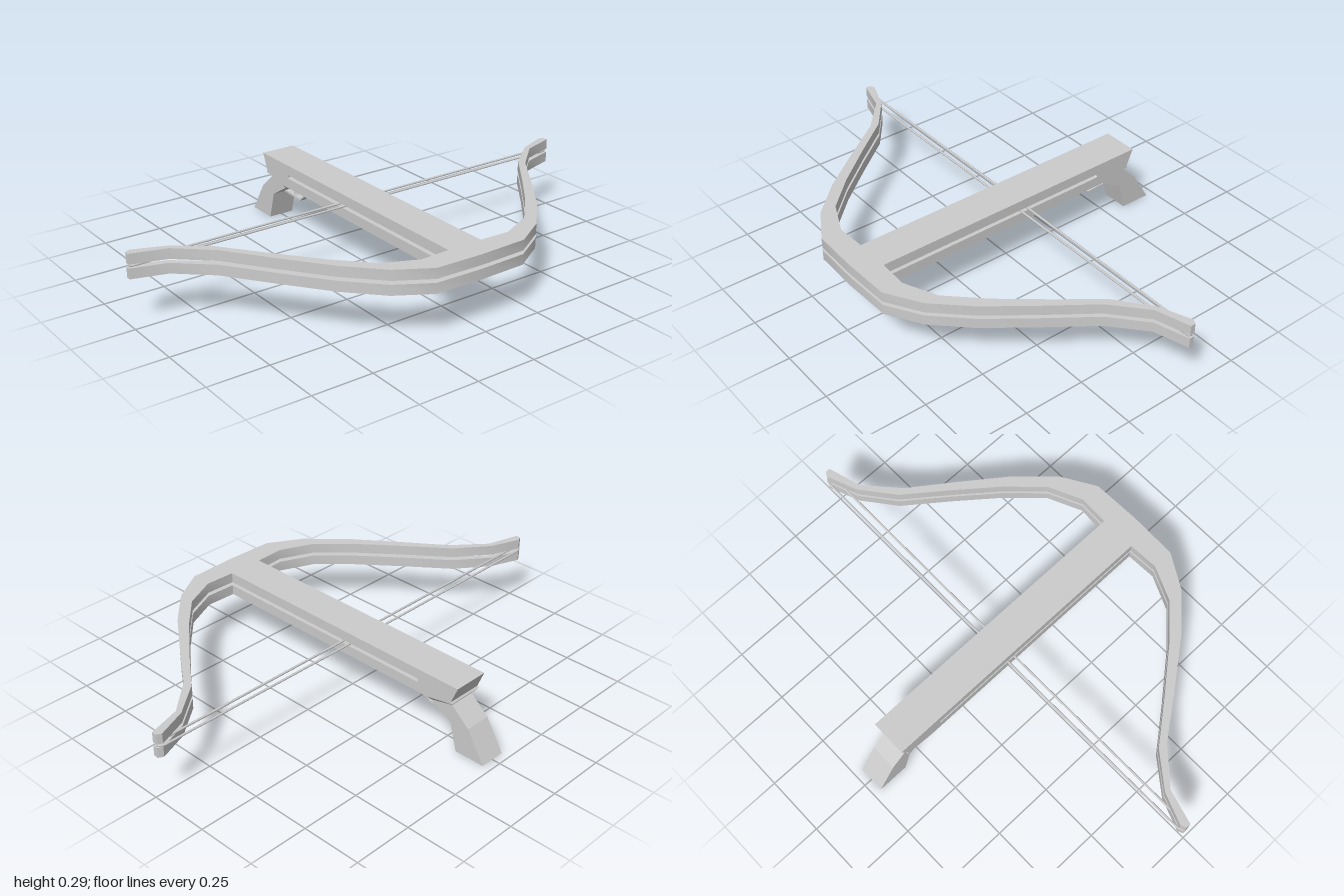
import * as THREE from 'three';
import { toCreasedNormals } from 'three/addons/utils/BufferGeometryUtils.js';

const material = new THREE.MeshStandardMaterial({ color: 0xcccccc });
const shapeOf = (points) => new THREE.Shape(points.map(([a, b]) => new THREE.Vector2(a, b)));

// Side profile given as (z, y), extruded across x and centred
function sideExtrude(shape, width) {
  return new THREE.ExtrudeGeometry(shape, { depth: width, bevelEnabled: false, curveSegments: 8 })
    .translate(0, 0, -width / 2)
    .rotateY(-Math.PI / 2);
}

export function createModel() {
  const model = new THREE.Group();
  const add = (name, geometry) => {
    const mesh = new THREE.Mesh(geometry, material);
    mesh.name = name;
    model.add(mesh);
    return mesh;
  };

  const bottom = 0.193, top = 0.292, slotLow = 0.235, slotHigh = 0.25;
  const slotMid = (slotLow + slotHigh) / 2, slotRadius = (slotHigh - slotLow) / 2;

  // Stock with a string slot that is open at the front and round at the back
  const stock = new THREE.Shape();
  stock.moveTo(0.62, slotHigh);
  stock.lineTo(0.62, top);
  stock.lineTo(-0.596, top);
  stock.lineTo(-0.567, 0.222);
  stock.lineTo(-0.573, 0.215);
  stock.lineTo(-0.45, bottom);
  stock.lineTo(0.62, bottom);
  stock.lineTo(0.62, slotLow);
  stock.lineTo(-0.4, slotLow);
  stock.absarc(-0.4, slotMid, slotRadius, -Math.PI / 2, Math.PI / 2, true);
  add('stock', sideExtrude(stock, 0.15));

  // Narrow core that closes the slot in the middle
  add('stockCore', new THREE.BoxGeometry(0.11, 0.025, 1.035).translate(0, slotMid, 0.1025));

  // Bow outline as (x, z) for one half, front edge then back edge
  const half = [
    [0.2, 0.711], [0.337, 0.63], [0.467, 0.495], [0.6, 0.32], [0.73, 0.142], [0.862, 0.025],
    [1, -0.015], [1, -0.035], [0.98, -0.045],
    [0.855, 0.003], [0.722, 0.107], [0.595, 0.27], [0.462, 0.433], [0.337, 0.563], [0.2, 0.625], [0.075, 0.62],
  ];
  const mirrored = half.map(([x, z]) => [-x, z]).reverse();
  const bowShape = shapeOf([[0, 0.717], ...half, ...mirrored].map(([x, z]) => [x, -z]));

  // Two stacked bow layers with an open gap between them
  for (const [name, low, high] of [['lowerBow', bottom, slotLow], ['upperBow', slotHigh, top]]) {
    const layer = new THREE.ExtrudeGeometry(bowShape, { depth: high - low, bevelEnabled: false })
      .rotateX(-Math.PI / 2)
      .translate(0, low, 0);
    add(name, toCreasedNormals(layer, 0.6));
  }

  // String looped around both bow tips
  const loop = [
    [0.975, -0.016], [0.992, -0.02], [0.995, -0.032], [0.988, -0.043], [0.97, -0.047],
  ];
  const stringPoints = [[0, -0.018], ...loop, [0, -0.051], ...loop.map(([x, z]) => [-x, z]).reverse()]
    .map(([x, z]) => new THREE.Vector3(x, slotMid, z));
  const stringPath = new THREE.CurvePath();
  stringPoints.forEach((p, i) => {
    stringPath.add(new THREE.LineCurve3(p, stringPoints[(i + 1) % stringPoints.length]));
  });
  add('bowString', new THREE.TubeGeometry(stringPath, 400, 0.0045, 8, true));

  // Collar tapering from the stock to the grip
  const collar = new THREE.BoxGeometry(1, 1, 1);
  const pos = collar.attributes.position;
  for (let i = 0; i < pos.count; i++) {
    const upper = pos.getY(i) > 0, front = pos.getZ(i) > 0;
    const [z, y] = upper
      ? (front ? [-0.45, bottom] : [-0.573, 0.215])
      : (front ? [-0.458, 0.173] : [-0.558, 0.196]);
    pos.setXYZ(i, Math.sign(pos.getX(i)) * (upper ? 0.075 : 0.055), y, z);
  }
  collar.computeVertexNormals();
  add('gripCollar', collar);

  // Raked grip
  add('grip', sideExtrude(shapeOf([
    [-0.458, 0.173], [-0.554, 0.115], [-0.585, 0], [-0.715, 0], [-0.638, 0.127], [-0.558, 0.196],
  ]), 0.11));

  // Trigger guard strip
  add('triggerGuard', sideExtrude(shapeOf([
    [-0.322, bottom], [-0.418, 0.118], [-0.556, 0.127], [-0.556, 0.135], [-0.416, 0.127], [-0.334, bottom],
  ]), 0.028));

  // Curved trigger
  const trigger = new THREE.Shape();
  trigger.moveTo(-0.462, 0.18);
  trigger.quadraticCurveTo(-0.468, 0.148, -0.453, 0.125);
  trigger.lineTo(-0.462, 0.125);
  trigger.quadraticCurveTo(-0.474, 0.145, -0.48, 0.18);
  add('trigger', sideExtrude(trigger, 0.016));

  return model;
}
